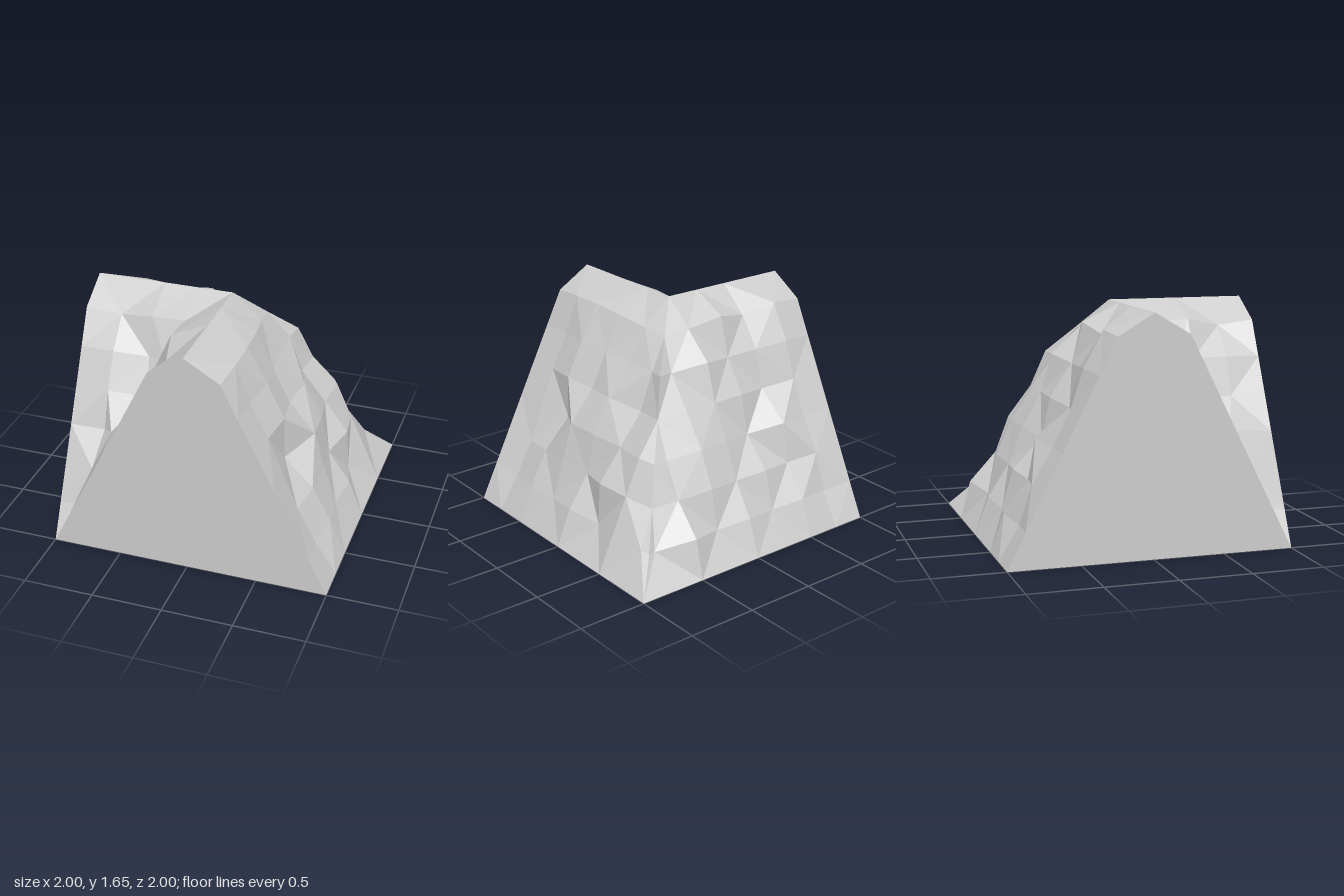
import * as THREE from 'three';

// Cross-section of the ridge: distance from the crest, and height there.
const DIST = [0, 0.25, 0.375, 0.5, 0.625, 0.75, 0.875, 1];
const CREST = 1.65;
const heightAt = (d) => (d === 0 ? CREST : 2 * (1 - d));

// Rock relief in hundredths, one row per level between crest and foot.
// Columns step by 0.25 away from the cut end; the last entry lies on the bend.
const OUTER_SIDE = [
  [3, 3, 0, -5, -10],
  [0, 4, 0, -2, -3, 0],
  [0, 4, 0, 4, -6, -5],
  [-2, -9, 7, 5, 0, 3, -3],
  [-4, 0, 2, -2, 6, 2, -10],
  [-3, 1, -2, 2, -6, 1, -5, -10],
];
const OUTER_BACK = [
  [3, -5, 3, -5, -10],
  [4, -1, -3, 6, -4, 0],
  [0, -7, 1, 1, 1, -5],
  [0, 6, -6, 2, 5, -2, -3],
  [2, -2, 3, 0, 4, -2, -10],
  [-2, 3, -2, 3, -3, 6, -9, -10],
];
const INNER_SIDE = [[-5, 3, 2], [2, 2, 0], [-2, -4], [4, 7], [5], [0]];
const INNER_FRONT = [[-5, 0, 2], [2, -3, 0], [2, -4], [-2, 7], [5], [0]];

const material = new THREE.MeshStandardMaterial({ color: 0xcccccc, flatShading: true });

function makeMesh(name, triangles) {
  const geometry = new THREE.BufferGeometry().setFromPoints(triangles.flat());
  geometry.computeVertexNormals();
  const mesh = new THREE.Mesh(geometry, material);
  mesh.name = name;
  return mesh;
}

// One slope: side is 1 outside the bend and -1 inside it.
// swap reflects the slope onto the other arm of the ridge.
function makeSlope(name, relief, side, swap) {
  const bendColumn = DIST.map((d) => Math.ceil((1 + side * d) / 0.25));

  const point = (row, column) => {
    const d = DIST[row];
    const bend = bendColumn[row];
    const k = Math.min(column, bend);
    const along = k === bend ? -side * d : 1 - 0.25 * k;
    const p = new THREE.Vector3(side * d, heightAt(d), along);

    // Push the rock in or out; the crest, foot and cut ends stay straight.
    if (row > 0 && row < DIST.length - 1 && k > 0) {
      const amount = relief[row - 1][k - 1] / 100;
      const normal = new THREE.Vector3(side * 2, row === 1 ? 2 : 1, k === bend ? -side * 2 : 0);
      p.addScaledVector(normal.normalize(), amount);
    }
    return swap ? new THREE.Vector3(-p.z, p.y, -p.x) : p;
  };

  const flip = (side < 0) !== swap;
  const triangles = [];
  const add = (a, b, c) => {
    if (new THREE.Triangle(a, b, c).getArea() < 1e-6) return;
    triangles.push(flip ? [a, c, b] : [a, b, c]);
  };

  for (let row = 0; row < DIST.length - 1; row++) {
    const columns = Math.max(bendColumn[row], bendColumn[row + 1]);
    for (let k = 0; k < columns; k++) {
      const a = point(row, k), b = point(row + 1, k);
      const c = point(row + 1, k + 1), d = point(row, k + 1);
      // Diagonals alternate, with the pattern shifted after two columns.
      if ((row + k + (k < 2 ? 0 : 1)) % 2 === 0) {
        add(a, b, c);
        add(a, c, d);
      } else {
        add(a, b, d);
        add(b, c, d);
      }
    }
  }
  return makeMesh(name, triangles);
}

// Flat cut through the ridge.
function makeEnd(name) {
  const shape = new THREE.Shape(
    [[-1, 0], [1, 0], [0.25, 1.5], [0, CREST], [-0.25, 1.5]].map(([x, y]) => new THREE.Vector2(x, y))
  );
  const mesh = new THREE.Mesh(new THREE.ShapeGeometry(shape), material);
  mesh.name = name;
  return mesh;
}

export function createModel() {
  const model = new THREE.Group();
  model.name = 'mountainRidgeBend';

  // Rocky slopes on both sides of the bent ridge
  model.add(
    makeSlope('outerSideSlope', OUTER_SIDE, 1, false),
    makeSlope('outerBackSlope', OUTER_BACK, 1, true),
    makeSlope('valleySideSlope', INNER_SIDE, -1, false),
    makeSlope('valleyFrontSlope', INNER_FRONT, -1, true)
  );

  // Cut faces at the two ends of the ridge
  const frontEnd = makeEnd('frontEnd');
  frontEnd.position.z = 1;
  const sideEnd = makeEnd('sideEnd');
  sideEnd.rotation.y = -Math.PI / 2;
  sideEnd.position.x = -1;

  // Underside
  const base = new THREE.Mesh(new THREE.PlaneGeometry(2, 2), material);
  base.name = 'base';
  base.rotation.x = Math.PI / 2;

  model.add(frontEnd, sideEnd, base);
  return model;
}
